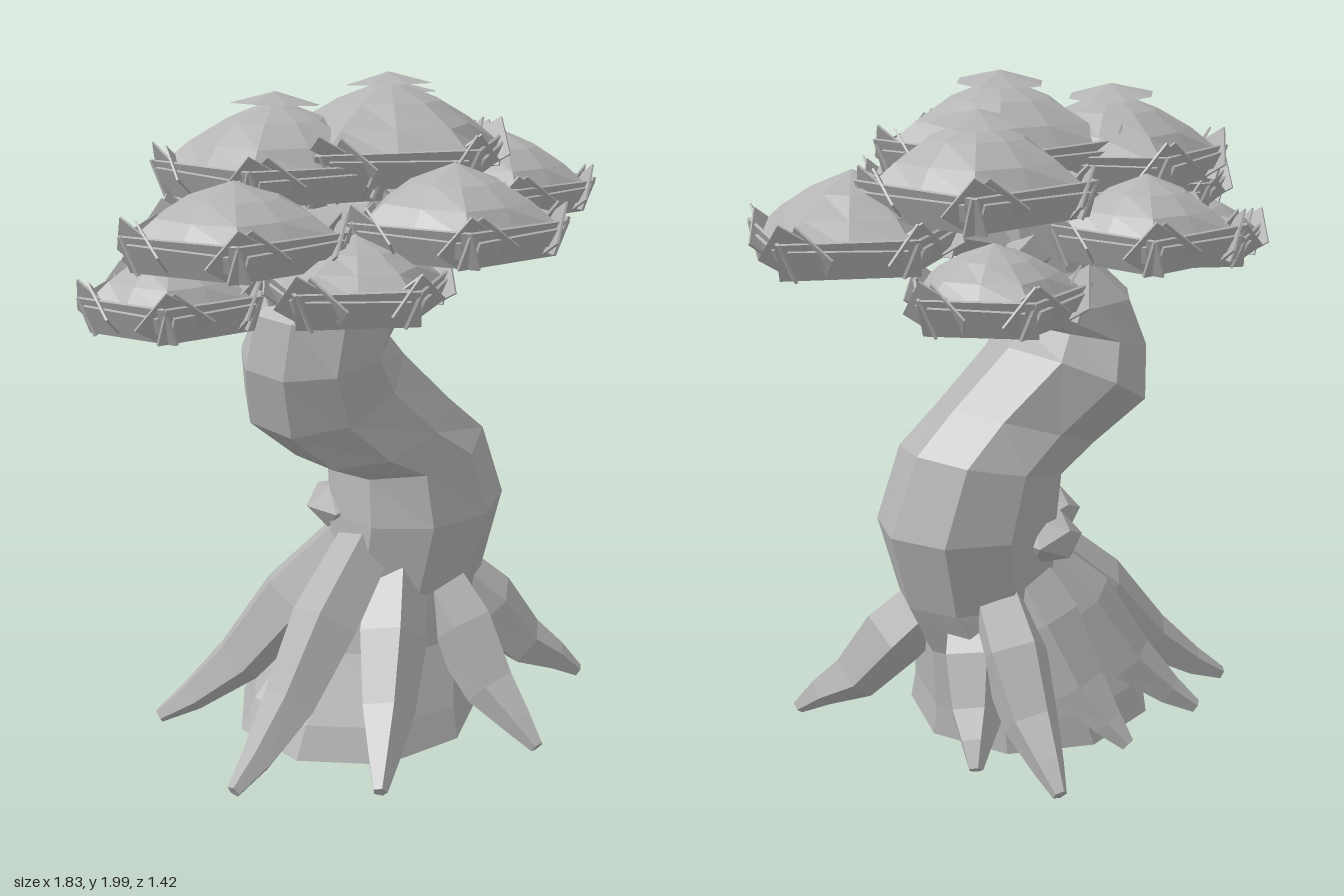
import * as THREE from 'three';

const clay = new THREE.MeshStandardMaterial({ color: 0xb4b4b4, flatShading: true, side: THREE.DoubleSide });
clay.name = 'plain grey';

const V = (x, y, z) => new THREE.Vector3(x, y, z);

function addMesh(parent, geometry, name) {
  const mesh = new THREE.Mesh(geometry, clay);
  mesh.name = name;
  parent.add(mesh);
  return mesh;
}

// Skin a list of equal-sized rings of points and close the far end
function loft(rings) {
  const n = rings[0].length;
  const pos = [];
  const tri = (...pts) => pts.forEach((p) => pos.push(p.x, p.y, p.z));
  const last = rings[rings.length - 1];
  const tip = last.reduce((s, p) => s.add(p), V(0, 0, 0)).divideScalar(n);
  for (let j = 0; j < n; j++) {
    const k = (j + 1) % n;
    for (let i = 0; i < rings.length - 1; i++) {
      const a = rings[i], b = rings[i + 1];
      tri(a[j], b[j], b[k]);
      tri(a[j], b[k], a[k]);
    }
    tri(tip, last[k], last[j]);
  }
  const g = new THREE.BufferGeometry();
  g.setAttribute('position', new THREE.Float32BufferAttribute(pos, 3));
  g.computeVertexNormals();
  return g;
}

// Tapered limb along a smooth path; one radius per path point
function limb(points, radii, sides) {
  const curve = new THREE.CatmullRomCurve3(points);
  return loft(points.map((p, i) => {
    const t = curve.getTangent(i / (points.length - 1));
    const ref = Math.abs(t.y) > 0.95 ? V(0, 0, 1) : V(0, 1, 0);
    const u = ref.cross(t).normalize();
    const v = u.clone().cross(t);
    return Array.from({ length: sides }, (_, j) => {
      const a = (j / sides) * Math.PI * 2;
      return p.clone().addScaledVector(u, Math.cos(a) * radii[i]).addScaledVector(v, Math.sin(a) * radii[i]);
    });
  }));
}

// Leaf pad: faceted cone with a five-sided skirt of overlong plates and leaf flakes
function leafPad([x, top, z, r, drop, turn], index) {
  const pad = new THREE.Group();
  pad.name = 'leafPad' + (index + 1);
  const sides = 5, band = 0.11;
  const corner = r * 1.08;
  const apothem = corner * Math.cos(Math.PI / sides);
  const side = 2 * corner * Math.sin(Math.PI / sides);

  const profile = [
    [0, -drop - 0.05], [0.4, -drop - 0.035], [0.7, -drop - 0.02],
    [0.98, -drop - 0.02], [0.72, -drop * 0.7], [0.42, -drop * 0.34], [0, 0],
  ].map(([k, y]) => new THREE.Vector2(k * corner, y));
  const dome = new THREE.LatheGeometry(profile, sides * 2);
  // Pull every second spoke in so the round cap becomes a pentagon at the rim
  const p = dome.attributes.position;
  for (let i = 0; i < p.count; i++) {
    const px = p.getX(i), pz = p.getZ(i);
    const odd = Math.round(Math.atan2(px, pz) / (Math.PI / sides)) % 2 !== 0;
    const reach = Math.hypot(px, pz) / corner;
    const s = odd ? 1 - 0.19 * Math.max(0, (reach - 0.4) / 0.6) : 1;
    p.setXYZ(i, px * s, p.getY(i), pz * s);
  }
  addMesh(pad, dome, 'leafDome');

  for (let i = 0; i < sides; i++) {
    const spoke = new THREE.Group();
    spoke.name = 'rimSection';
    spoke.rotation.y = ((i + 0.5) / sides) * Math.PI * 2;
    const plate = addMesh(spoke, new THREE.BoxGeometry(side * 1.08, band, 0.008), 'rimPlate');
    plate.position.set(0, -drop - band * 0.45, apothem * 0.96);
    plate.rotation.set(0.4, 0, i % 2 ? 0.03 : -0.03);
    const ledge = addMesh(spoke, new THREE.BoxGeometry(side * 0.9, 0.05, 0.008), 'rimLedge');
    ledge.position.set(0, -drop - band * 0.4, apothem * 1.03);
    ledge.rotation.x = 0.4;
    for (const [at, yaw, roll] of [[0.44, 0.9, 0.4], [-0.28, -0.7, -0.3]]) {
      const flake = addMesh(spoke, new THREE.BoxGeometry(0.13, 0.085, 0.006), 'leafFlake');
      flake.position.set(side * at, -drop - 0.025, apothem * 0.97);
      flake.rotation.set(0.7, yaw, roll);
    }
    pad.add(spoke);
  }
  // Loose leaf crowning the highest pads
  if (index < 3) {
    const crown = addMesh(pad, new THREE.ConeGeometry(0.13, 0.035, 8, 1, true), 'crownLeaf');
    crown.position.y = 0.002;
    crown.rotation.z = -0.08;
  }
  pad.position.set(x, top, z);
  pad.rotation.y = turn;
  return pad;
}

export function createModel() {
  const tree = new THREE.Group();
  tree.name = 'bonsaiTree';

  // Bent trunk, open underneath: centre x, y, z, radius in x, radius in z, tilt
  const trunkRings = [
    [-0.03, 0.005, 0, 0.4, 0.38, 0], [-0.01, 0.1, 0, 0.37, 0.35, 0], [0.07, 0.28, 0.02, 0.29, 0.27, 0],
    [0.15, 0.44, 0.045, 0.28, 0.23, 0], [0.185, 0.67, 0.055, 0.3, 0.265, 0.02],
    [0.155, 0.86, 0.03, 0.25, 0.255, 0.22], [0.03, 0.95, 0, 0.26, 0.245, 0.35],
    [-0.1, 1.09, -0.075, 0.25, 0.265, 0.5], [-0.165, 1.21, -0.05, 0.21, 0.24, 0.25],
    [-0.115, 1.33, -0.03, 0.235, 0.22, 0.02], [-0.06, 1.43, 0.01, 0.195, 0.18, 0], [-0.03, 1.6, 0.02, 0.16, 0.16, 0],
  ];
  const trunk = loft(trunkRings.map(([x, y, z, rx, rz, tilt]) => Array.from({ length: 9 }, (_, j) => {
    const a = (j / 9) * Math.PI * 2 + 0.1;
    const c = Math.cos(a) * rx;
    return V(x + c * Math.cos(tilt), y + c * Math.sin(tilt), z + Math.sin(a) * rz);
  })));
  addMesh(tree, trunk, 'trunk');

  // Knots low on the trunk
  for (const [x, y, z, r] of [[-0.01, 0.67, -0.08, 0.11], [0.07, 0.63, -0.16, 0.11]]) {
    const knot = addMesh(tree, new THREE.IcosahedronGeometry(r, 0), 'knot');
    knot.position.set(x, y, z);
    knot.scale.set(1, 0.75, 1);
  }

  // Spreading roots: tip x, tip z, height where they leave the trunk
  const roots = [
    [0.58, 0.44, 0.42], [0.08, 0.62, 0.46], [-0.42, 0.42, 0.5], [-0.69, 0.1, 0.57],
    [-0.53, -0.39, 0.56], [-0.29, -0.47, 0.56], [0.04, -0.47, 0.54], [0.39, -0.51, 0.48], [0.46, -0.24, 0.42],
  ];
  for (const [tx, tz, h] of roots) {
    const sx = 0.11 + tx * 0.3, sz = 0.03 + tz * 0.26;
    const at = (k, y) => V(sx + (tx - sx) * k, y, sz + (tz - sz) * k);
    const path = [at(-0.08, h), at(0.26, h * 0.68), at(0.56, h * 0.34), at(0.82, 0.085), at(1, 0.03)];
    addMesh(tree, limb(path, [0.095, 0.11, 0.085, 0.05, 0.022], 5), 'root');
  }

  // Leaf pads: x, top y, z, radius, dome height, turn
  const pads = [
    [0.04, 1.98, 0.06, 0.33, 0.17, 1.1], [-0.24, 1.935, -0.12, 0.31, 0.16, 0.24], [0.37, 1.915, -0.18, 0.29, 0.16, 1.08],
    [0.62, 1.78, 0.04, 0.265, 0.15, 0.5], [-0.56, 1.76, 0.03, 0.275, 0.12, 0.5], [-0.09, 1.79, 0.4, 0.27, 0.14, 0.47],
    [-0.01, 1.75, -0.45, 0.24, 0.13, 1.09], [-0.36, 1.62, 0.28, 0.235, 0.11, 1.05], [-0.67, 1.58, -0.1, 0.22, 0.11, 0.44],
    [0.46, 1.61, -0.33, 0.22, 0.11, 0.24],
  ];
  pads.forEach((pad, i) => tree.add(leafPad(pad, i)));

  // Branches reaching from the trunk top to the outer pads
  for (const [x, top, z, , drop] of pads.slice(3)) {
    const y = top - drop;
    const path = [V(-0.05, 1.47, 0), V(x * 0.5 - 0.03, 1.48 + (y - 1.48) * 0.5, z * 0.5), V(x, y, z)];
    addMesh(tree, limb(path, [0.085, 0.055, 0.03], 5), 'branch');
  }
  return tree;
}
